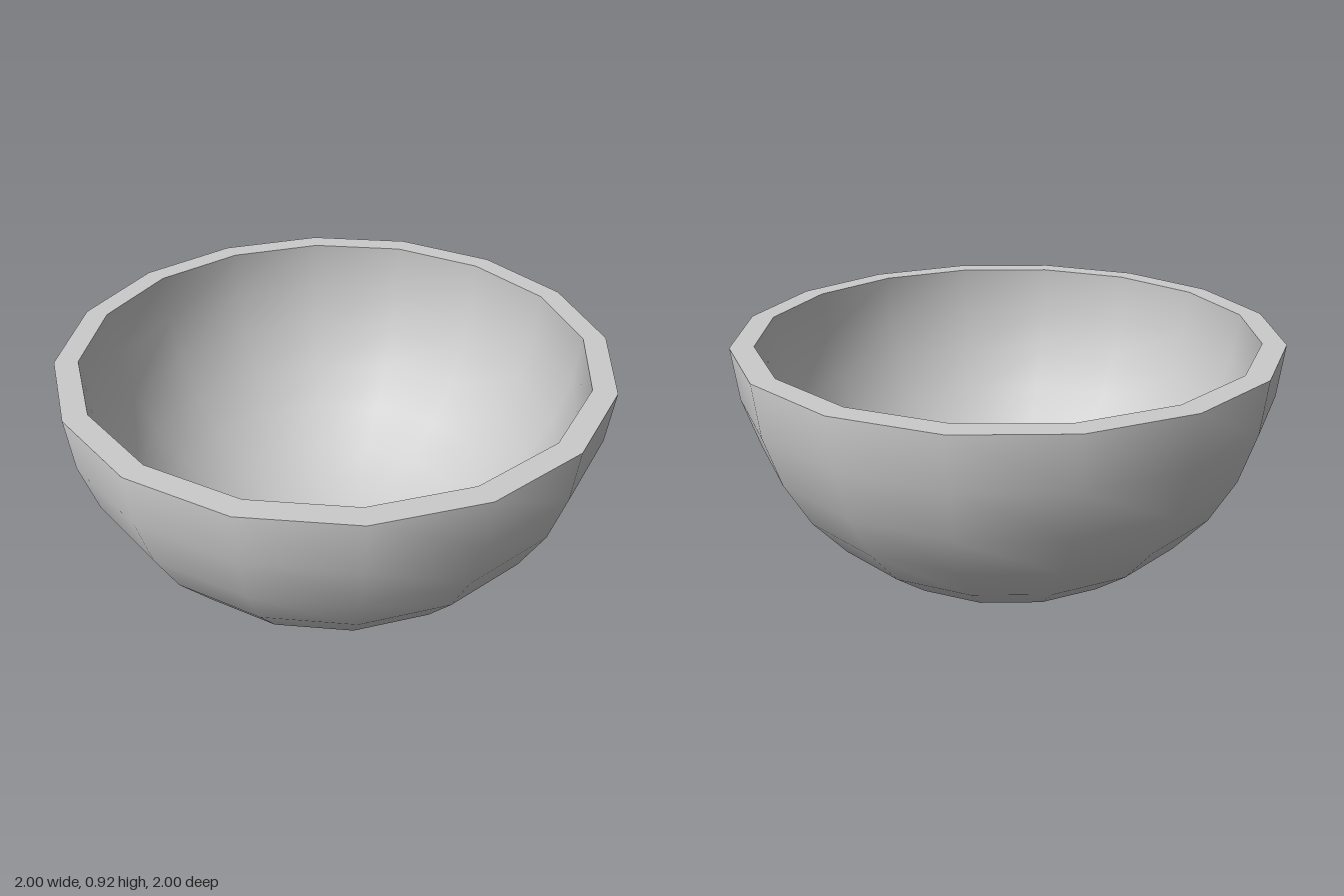
import * as THREE from 'three';

const SIDES = 16;
const OUTER = 1;
const INNER = 0.915;
const BASE_ANGLE = Math.PI / 8; // polar angle where the sphere is cut flat
const HEIGHT = OUTER * Math.cos(BASE_ANGLE);

// Lower part of a sphere, from the equator down to an angle short of the pole
function lowerSphere(radius, rings, cutAngle) {
  return new THREE.SphereGeometry(radius, SIDES, rings, 0, Math.PI * 2, Math.PI / 2, Math.PI / 2 - cutAngle);
}

// Turn a surface inside out: reverse the winding and the normals
function invert(geometry) {
  geometry.index.array.reverse();
  const normals = geometry.attributes.normal.array;
  for (let i = 0; i < normals.length; i++) normals[i] *= -1;
  return geometry;
}

export function createModel() {
  const bowl = new THREE.Group();
  bowl.name = 'bowl';
  const material = new THREE.MeshStandardMaterial({ color: 0xcccccc });

  function add(name, geometry, y) {
    const mesh = new THREE.Mesh(geometry, material);
    mesh.name = name;
    mesh.position.y = y;
    bowl.add(mesh);
  }

  // Rounded outside wall, cut off flat at the foot
  add('outerWall', lowerSphere(OUTER, 6, BASE_ANGLE), HEIGHT);

  // Hollow inside, a full hemisphere
  add('innerWall', invert(lowerSphere(INNER, 8, 0)), HEIGHT);

  // Flat rim joining the two walls
  add('rim', new THREE.RingGeometry(INNER, OUTER, SIDES).rotateX(-Math.PI / 2), HEIGHT);

  // Flat underside
  add('base', new THREE.CircleGeometry(OUTER * Math.sin(BASE_ANGLE), SIDES).rotateX(Math.PI / 2), 0);

  return bowl;
}
